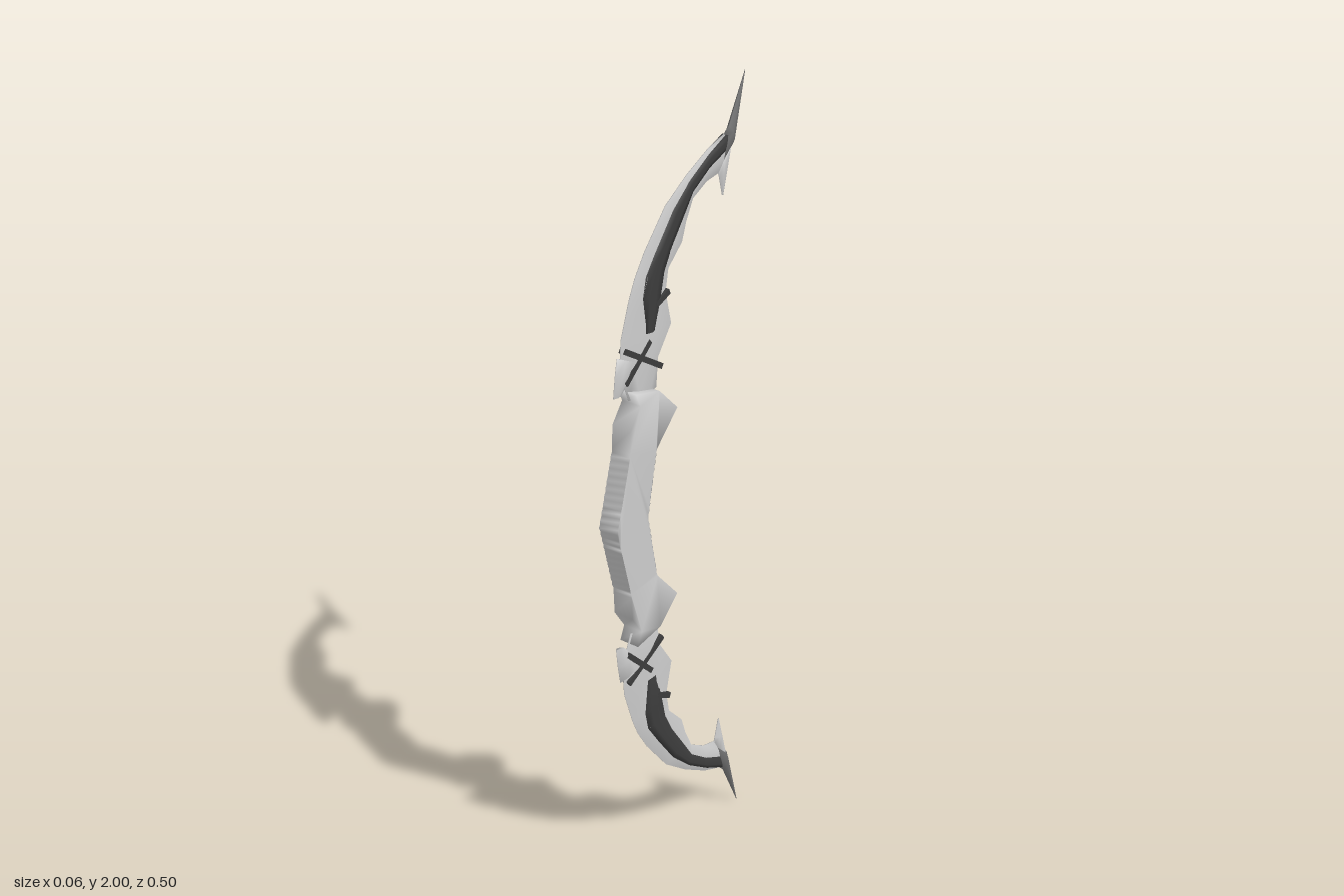
import * as THREE from 'three';
import { mergeVertices } from 'three/addons/utils/BufferGeometryUtils.js';

const grey = new THREE.MeshStandardMaterial({ color: 0xcccccc });
const dark = new THREE.MeshStandardMaterial({ color: 0x3c3c3c });
const steel = new THREE.MeshStandardMaterial({ color: 0x6c6c6c });
const mix = (a, b, t) => a + (b - a) * t;

function mesh(name, geometry, material) {
  const m = new THREE.Mesh(geometry, material);
  m.name = name;
  return m;
}

// Lofts eight-point blade sections. Each station: [z1, y1, z2, y2, half thickness, edge half thickness]
function blade(name, stations, material = grey) {
  const pos = [], idx = [];
  for (const [z1, y1, z2, y2, t, e = 0.001] of stations) {
    const ring = [[0, e], [0.3, t], [0.68, t], [1, e], [1, -e], [0.68, -t], [0.3, -t], [0, -e]];
    for (const [f, x] of ring) pos.push(x, mix(y1, y2, f), mix(z1, z2, f));
  }
  const n = 8, last = (stations.length - 1) * n;
  for (let i = 0; i < last; i += n) {
    for (let j = 0; j < n; j++) {
      const k = (j + 1) % n;
      idx.push(i + j, i + k, i + n + k, i + j, i + n + k, i + n + j);
    }
  }
  for (let j = 1; j < n - 1; j++) idx.push(0, j + 1, j, last, last + j, last + j + 1);
  const g = new THREE.BufferGeometry();
  g.setAttribute('position', new THREE.Float32BufferAttribute(pos, 3));
  g.setIndex(idx);
  g.computeVertexNormals();
  return mesh(name, g, material);
}

// Grip: bent slab with flared shoulders and fine wrapping ridges, shaded softly across its edges
function makeGrip() {
  const front = [], back = [], ridges = 10;
  for (let i = 0; i <= ridges * 2; i++) {
    const f = i / (ridges * 2), dip = i % 2 ? 0.002 : 0;
    front.push([mix(0.253, 0.203, f) - dip, mix(1, 1.19, f)]);
    back.push([mix(0.138, 0.105, f) + dip, mix(1, 1.17, f)]);
  }
  front.push([0.2, 1.25], [0.165, 1.3], [0.18, 1.335]);
  back.push([0.03, 1.25], [0.095, 1.315]);
  const half = [...front, ...back.reverse()];
  const lower = half.map(([z, y]) => [z, 2 - y]).reverse();
  const shape = new THREE.Shape([...half, ...lower.slice(1, -1)].map(([z, y]) => new THREE.Vector2(-z, y)));
  const slab = new THREE.ExtrudeGeometry(shape, { depth: 0.056, bevelEnabled: false });
  slab.translate(0, 0, -0.028).rotateY(Math.PI / 2);
  slab.deleteAttribute('uv');
  slab.deleteAttribute('normal');
  const g = mergeVertices(slab);
  g.computeVertexNormals();
  return mesh('grip', g, grey);
}

function makeLimb(name) {
  const limb = new THREE.Group();
  limb.name = name;

  // Curved main blade, front edge then string-side edge
  const stations = [
    [0.175, 1.31, 0.075, 1.31, 0.009],
    [0.205, 1.39, 0.068, 1.385, 0.01],
    [0.2, 1.47, 0.02, 1.455, 0.01],
    [0.17, 1.56, 0.04, 1.54, 0.009],
    [0.15, 1.605, 0.03, 1.595, 0.01],
    [0.115, 1.66, -0.02, 1.645, 0.009],
    [0.04, 1.75, -0.035, 1.69, 0.009],
    [-0.035, 1.802, -0.06, 1.74, 0.008],
    [-0.115, 1.845, -0.11, 1.767, 0.008],
    [-0.18, 1.867, -0.155, 1.775, 0.009],
  ];
  limb.add(blade('limbBlade', stations));

  // Dark raised inlay: broad near the root, a narrow stripe towards the tip
  const spans = [[0.42, 0.62], [0.3, 0.8], [0.25, 0.8], [0.25, 0.66], [0.25, 0.72], [0.22, 0.66], [0.15, 0.55], [0.05, 0.45]];
  const inlay = spans.map(([a, b], i) => {
    const [z1, y1, z2, y2] = stations[i + 2];
    return [mix(z1, z2, a), mix(y1, y2, a), mix(z1, z2, b), mix(y1, y2, b), 0.0128 - i * 0.0003, 0.009];
  });
  limb.add(blade('limbInlay', inlay, dark));

  // Pointed tip
  limb.add(blade('limbTip', [
    [-0.175, 1.865, -0.165, 1.79, 0.0092],
    [-0.192, 1.88, -0.205, 1.83, 0.011],
    [-0.25, 2.0, -0.25, 1.995, 0.0005, 0.0003],
  ], steel));

  // Forward claw beside the grip
  limb.add(blade('limbClaw', [
    [0.15, 1.4, 0.214, 1.43, 0.01],
    [0.172, 1.365, 0.222, 1.385, 0.01],
    [0.2, 1.338, 0.228, 1.333, 0.007],
  ]));

  // Hooked barb behind the tip
  limb.add(blade('tipBarb', [
    [-0.203, 1.835, -0.15, 1.785, 0.009],
    [-0.186, 1.77, -0.157, 1.765, 0.007],
    [-0.172, 1.715, -0.169, 1.717, 0.001],
  ]));

  // Dark bands: two crossing at the root, one running to the string-side edge
  for (const [y, z, angle, length] of [
    [1.402, 0.128, -0.55, 0.15],
    [1.4, 0.15, 0.75, 0.12],
    [1.533, 0.06, 0.42, 0.05],
  ]) {
    const band = mesh('limbBand', new THREE.BoxGeometry(0.023, 0.014, length), dark);
    band.position.set(0, y, z);
    band.rotation.x = angle;
    limb.add(band);
  }
  return limb;
}

export function createModel() {
  const bow = new THREE.Group();
  bow.name = 'bow';
  const lower = makeLimb('lowerLimb');
  lower.rotation.z = Math.PI;
  lower.position.y = 2;
  bow.add(makeGrip(), makeLimb('upperLimb'), lower);
  return bow;
}
